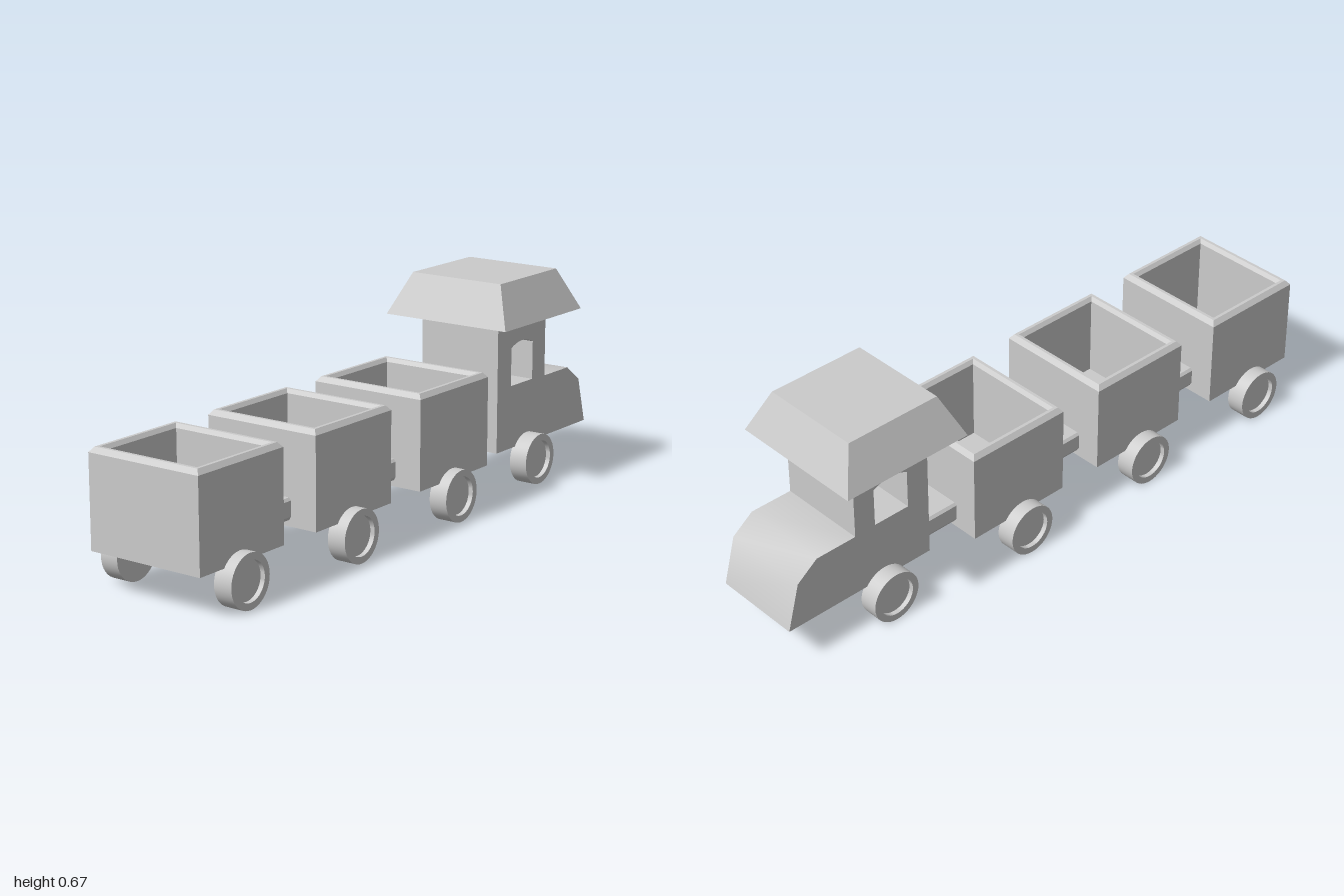
import * as THREE from 'three';
import { toCreasedNormals } from 'three/addons/utils/BufferGeometryUtils.js';

const material = new THREE.MeshStandardMaterial({ color: 0xcccccc });
const MID = 0.005; // bodies sit slightly off the wheel centre line

function addMesh(parent, name, geometry, x = 0, y = 0, z = 0) {
  const mesh = new THREE.Mesh(geometry, material);
  mesh.name = name;
  mesh.position.set(x, y, z);
  parent.add(mesh);
  return mesh;
}

// Sweeps a profile of [inset, height] pairs around a rectangle, capped at both ends
function rectLoft(width, depth, profile) {
  const corners = [[-1, 1], [1, 1], [1, -1], [-1, -1]];
  const ring = ([inset, y]) => corners.map(([sx, sz]) =>
    [sx * (width / 2 - inset), y, sz * (depth / 2 - inset)]);
  const rings = profile.map(ring);
  const positions = [];
  const quad = (a, b, c, d) => positions.push(...a, ...b, ...c, ...a, ...c, ...d);
  for (let i = 0; i < rings.length - 1; i++) {
    for (let k = 0; k < 4; k++) {
      const n = (k + 1) % 4;
      quad(rings[i][k], rings[i][n], rings[i + 1][n], rings[i + 1][k]);
    }
  }
  quad(...[...rings[0]].reverse());
  quad(...rings[rings.length - 1]);
  const geometry = new THREE.BufferGeometry();
  geometry.setAttribute('position', new THREE.Float32BufferAttribute(positions, 3));
  geometry.computeVertexNormals();
  return geometry;
}

// Wheel with a raised rim around a recessed outer face, axis along z
function wheelGeometry() {
  const profile = [[0, 0], [0.081, 0], [0.081, 0.06], [0.06, 0.06], [0.06, 0.045], [0, 0.045]];
  const lathe = new THREE.LatheGeometry(profile.map(p => new THREE.Vector2(...p)), 40);
  return toCreasedNormals(lathe.rotateX(Math.PI / 2), 0.6);
}

function addWheels(parent, geometry, x, outerZ, middle) {
  for (const side of [1, -1]) {
    const wheel = addMesh(parent, side > 0 ? 'frontWheel' : 'backWheel', geometry,
      x, 0.0815, middle + side * (outerZ - 0.06));
    if (side < 0) wheel.rotation.y = Math.PI;
  }
}

// Engine side outline with arched window, extruded across the width
function engineGeometry() {
  const shape = new THREE.Shape([
    [0.48, 0.128], [0.998, 0.128], [0.958, 0.275], [0.888, 0.327],
    [0.75, 0.327], [0.75, 0.545], [0.48, 0.545],
  ].map(p => new THREE.Vector2(...p)));
  const hole = new THREE.Path();
  hole.moveTo(0.556, 0.33);
  hole.lineTo(0.556, 0.452);
  hole.quadraticCurveTo(0.617, 0.482, 0.678, 0.452);
  hole.lineTo(0.678, 0.33);
  hole.closePath();
  shape.holes.push(hole);
  const geometry = new THREE.ExtrudeGeometry(shape, { depth: 0.286, bevelEnabled: false, curveSegments: 10 });
  return toCreasedNormals(geometry.translate(0, 0, -0.143), 0.75);
}

// Coupling bar with small chamfers along its length
function couplingGeometry(length) {
  const shape = new THREE.Shape([
    [-0.103, 0.147], [0.103, 0.147], [0.11, 0.158], [0.11, 0.205],
    [0.103, 0.213], [-0.103, 0.213], [-0.11, 0.205], [-0.11, 0.158],
  ].map(p => new THREE.Vector2(...p)));
  const geometry = new THREE.ExtrudeGeometry(shape, { depth: length, bevelEnabled: false });
  return geometry.translate(0, 0, -length / 2).rotateY(Math.PI / 2);
}

export function createModel() {
  const train = new THREE.Group();
  train.name = 'toyTrain';
  const wheel = wheelGeometry();

  // Three open wagons with chamfered rims
  const box = rectLoft(0.354, 0.388, [
    [0, 0.128], [0, 0.407], [0.012, 0.422], [0.022, 0.422], [0.031, 0.41], [0.031, 0.155],
  ]);
  [-0.823, -0.326, 0.173].forEach((x, i) => {
    const wagon = new THREE.Group();
    wagon.name = 'wagon' + (i + 1);
    addMesh(wagon, 'wagonBox', box, x, 0, MID);
    addWheels(wagon, wheel, x - 0.012, 0.234, 0.001);
    train.add(wagon);
  });

  // Couplings between the vehicles
  for (const [from, to] of [[-0.65, -0.5], [-0.152, 0], [0.345, 0.482]]) {
    addMesh(train, 'coupling', couplingGeometry(to - from), (from + to) / 2);
  }

  // Engine with cab, sloping hood and flared roof
  const engine = new THREE.Group();
  engine.name = 'engine';
  addMesh(engine, 'engineBody', engineGeometry(), 0, 0, MID);
  addMesh(engine, 'cabRoof', rectLoft(0.434, 0.446, [[0, 0.542], [0.059, 0.673]]), 0.615, 0, MID);
  addWheels(engine, wheel, 0.65, 0.194, 0.006);
  train.add(engine);

  return train;
}
